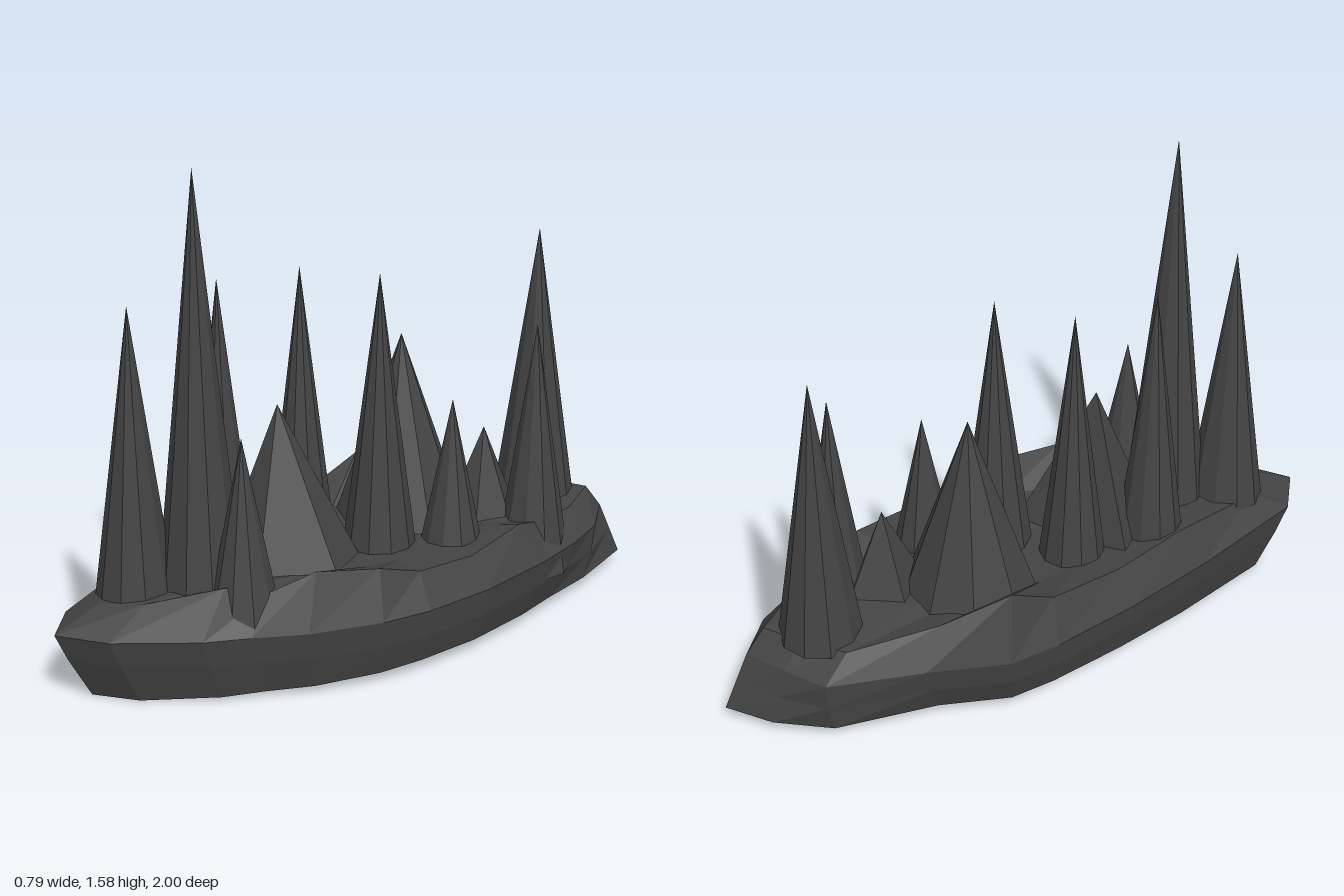
import * as THREE from 'three';

const material = new THREE.MeshStandardMaterial({
  color: 0x444444, flatShading: true, side: THREE.DoubleSide,
});

// Island outline seen from above: x, z, height of the upper rim
const outline = [
  [0.11, -1.0, 0.30], [0.22, -0.82, 0.30], [0.28, -0.65, 0.31], [0.33, -0.48, 0.35],
  [0.38, -0.22, 0.32], [0.39, 0.02, 0.33], [0.37, 0.18, 0.37], [0.30, 0.40, 0.39],
  [0.22, 0.55, 0.33], [0.16, 0.68, 0.36], [0.0, 0.90, 0.31], [-0.14, 1.0, 0.29],
  [-0.26, 0.89, 0.30], [-0.34, 0.48, 0.35], [-0.38, 0.18, 0.34], [-0.40, -0.12, 0.36],
  [-0.39, -0.29, 0.43], [-0.28, -0.52, 0.34], [-0.17, -0.83, 0.30], [-0.03, -0.93, 0.30],
];

// Level of the rock: [scale, scale at the back tip, height]; null height uses the rim
const levels = [
  [0, 0, 0.03], [0.89, 1.0, 0.03], [0.96, 0.96, 0.13], [1.0, 0.92, 0.22],
  [0.86, 0.86, null], [0.55, 0.55, 0.32], [0, 0, 0.31],
];

function islandPoint([x, z, rim], [scale, backScale, height]) {
  const back = THREE.MathUtils.smoothstep(-z, 0.7, 1.0);
  const s = THREE.MathUtils.lerp(scale, backScale, back);
  let y = height ?? rim;
  if (height === 0.03) y = 0.04 - 0.045 * Math.max(0, z * s); // underside dips at the bow
  return [x * s, Math.max(0, y), z * s];
}

function islandGeometry() {
  const positions = [];
  const n = outline.length;
  for (let k = 0; k < levels.length - 1; k++) {
    for (let i = 0; i < n; i++) {
      const a = outline[i], b = outline[(i + 1) % n];
      const la = islandPoint(a, levels[k]), lb = islandPoint(b, levels[k]);
      const ua = islandPoint(a, levels[k + 1]), ub = islandPoint(b, levels[k + 1]);
      if (levels[k][0] > 0) positions.push(...la, ...ua, ...lb);
      if (levels[k + 1][0] > 0) positions.push(...ua, ...ub, ...lb);
    }
  }
  const geometry = new THREE.BufferGeometry();
  geometry.setAttribute('position', new THREE.Float32BufferAttribute(positions, 3));
  geometry.computeVertexNormals();
  return geometry;
}

// Crag: a fan from a peak down to an irregular foot listed clockwise from above
function cragGeometry(peak, foot, baseY) {
  const positions = [];
  foot.forEach(([x, z], i) => {
    const [nx, nz] = foot[(i + 1) % foot.length];
    positions.push(...peak, nx, baseY, nz, x, baseY, z);
  });
  const geometry = new THREE.BufferGeometry();
  geometry.setAttribute('position', new THREE.Float32BufferAttribute(positions, 3));
  geometry.computeVertexNormals();
  return geometry;
}

// Spires: x, z, radius, base height, tip height
const spires = [
  [0.0, -0.715, 0.13, 0.28, 1.18], [0.19, -0.55, 0.12, 0.14, 0.95],
  [0.17, -0.235, 0.095, 0.30, 0.77], [0.06, -0.04, 0.115, 0.29, 1.18],
  [-0.14, 0.11, 0.105, 0.29, 1.18], [-0.19, 0.375, 0.105, 0.29, 1.18],
  [-0.04, 0.55, 0.13, 0.28, 1.58], [0.11, 0.5, 0.11, 0.24, 0.8],
  [-0.135, 0.72, 0.12, 0.28, 1.18],
];

export function createModel() {
  const group = new THREE.Group();
  const add = (name, geometry) => {
    const mesh = new THREE.Mesh(geometry, material);
    mesh.name = name;
    group.add(mesh);
    return mesh;
  };
  const addCone = (name, [x, z, radius, base, tip], sides) => {
    const cone = add(name, new THREE.ConeGeometry(radius, tip - base, sides));
    cone.position.set(x, (base + tip) / 2, z);
  };

  add('island', islandGeometry());
  spires.forEach((s, i) => addCone(`spire${i + 1}`, s, 10));

  // Broad rocks between the spires
  addCone('broadPeak', [-0.085, -0.235, 0.215, 0.28, 0.91], 9);
  add('middleCrag', cragGeometry([-0.05, 0.26, 0.8],
    [[-0.27, 0.23], [0.1, 0.06], [0.19, 0.21], [0.08, 0.43], [-0.12, 0.44]], 0.3));
  group.getObjectByName('middleCrag').geometry.dispose();
  group.getObjectByName('middleCrag').geometry = cragGeometry([-0.05, 0.8, 0.26],
    [[-0.27, 0.23], [0.1, 0.06], [0.19, 0.21], [0.08, 0.43], [-0.12, 0.44]], 0.3);
  add('rearCrag', cragGeometry([0.05, 0.59, -0.46],
    [[-0.08, -0.46], [0.04, -0.6], [0.17, -0.48], [0.15, -0.35], [0.02, -0.32]], 0.29));
  return group;
}
